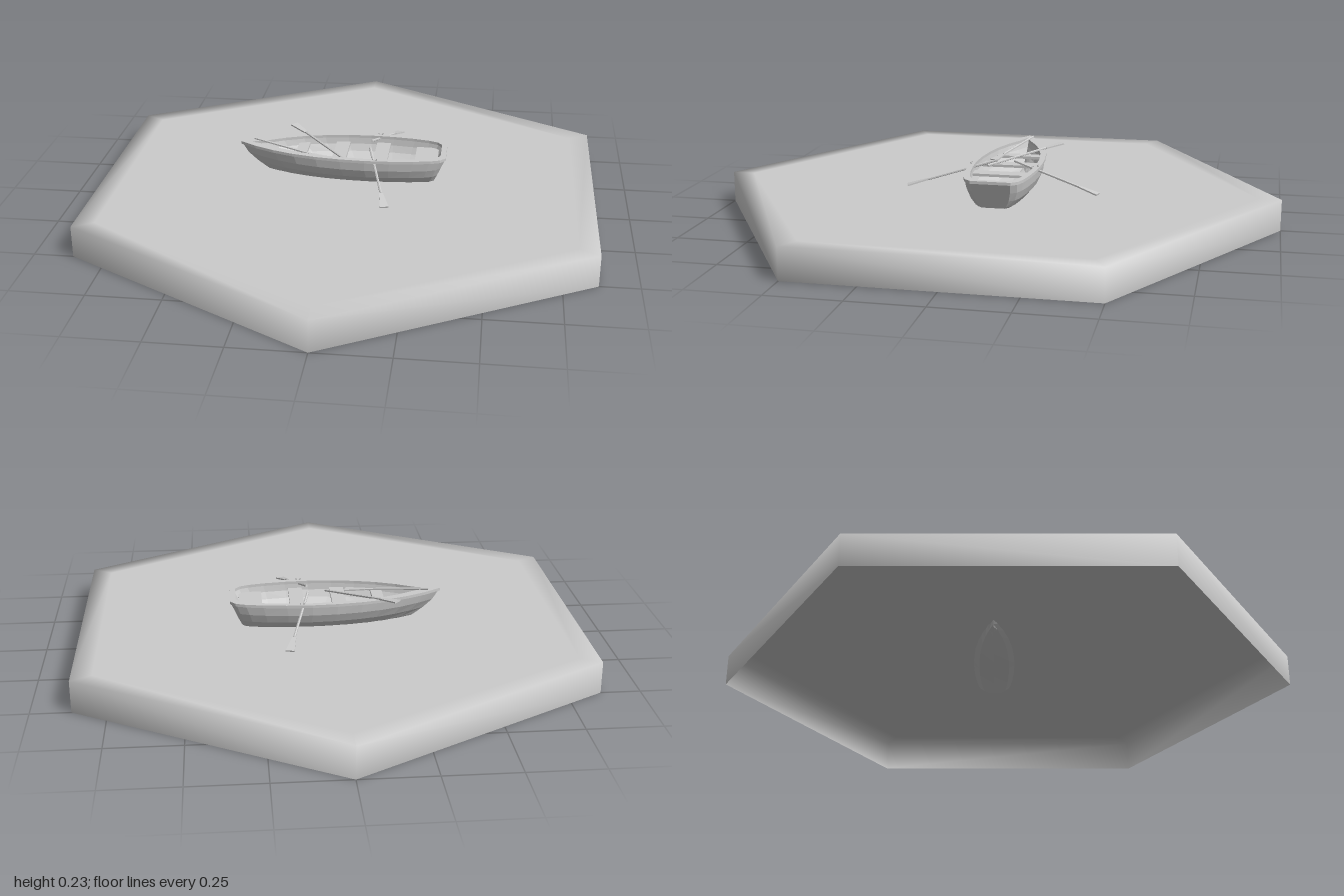
import * as THREE from 'three';

const smooth = new THREE.MeshStandardMaterial({ color: 0xcccccc, side: THREE.DoubleSide });
const faceted = new THREE.MeshStandardMaterial({ color: 0xcccccc, side: THREE.DoubleSide, flatShading: true });

const RAIL = 0.203; // height of the hull's upper edge

// Plan outline: [fraction of length from bow, half width]; the last pair closes the transom
const PLAN = [[0, 0], [0.08, 0.034], [0.17, 0.065], [0.27, 0.09], [0.38, 0.108], [0.5, 0.119], [0.62, 0.123],
  [0.74, 0.119], [0.85, 0.11], [0.93, 0.099], [0.975, 0.087], [1, 0.066], [1, 0]];

function add(parent, name, geometry, material = faceted) {
  const mesh = new THREE.Mesh(geometry, material);
  mesh.name = name;
  parent.add(mesh);
  return mesh;
}

// Half width of the boat at a given x along the rail
function halfWidth(x) {
  const t = (x + 0.39) / 0.735;
  const i = Math.max(1, PLAN.findIndex(p => p[0] >= t));
  const [a, b] = [PLAN[i - 1], PLAN[i]];
  return THREE.MathUtils.lerp(a[1], b[1], (t - a[0]) / (b[0] - a[0]));
}

// Hull skin lofted from rounded sections, with raked stem and transom
function skin(inset, depth) {
  const pos = [], index = [], n = 10;
  PLAN.forEach(([t, w], i) => {
    for (let j = 0; j <= n; j++) {
      const a = Math.PI * j / n, d = Math.sin(a), c = Math.cos(a);
      const bow = -0.39 + inset * 2 + 0.12 * d ** 1.5, stern = 0.343 - inset - 0.045 * d;
      const z = Math.max(0, w - inset) * Math.sign(c) * Math.abs(c) ** 0.7;
      pos.push(THREE.MathUtils.lerp(bow, stern, t), RAIL - depth * d, z);
      if (i && j) {
        const q = i * (n + 1) + j, p = q - n - 1;
        index.push(p - 1, p, q - 1, p, q, q - 1);
      }
    }
  });
  const g = new THREE.BufferGeometry();
  g.setAttribute('position', new THREE.Float32BufferAttribute(pos, 3));
  g.setIndex(index);
  g.computeVertexNormals();
  return g;
}

// Closed plan outline of the boat, grown or shrunk by an offset
function outline(offset) {
  const side = PLAN.slice(1, -1).map(([t, w]) => new THREE.Vector2(
    THREE.MathUtils.lerp(-0.39 - offset * 2, 0.343 + offset, t), Math.max(0.004, w + offset)));
  const bow = new THREE.Vector2(-0.39 - offset * 2, 0);
  return [bow, ...side, ...side.map(p => new THREE.Vector2(p.x, -p.y)).reverse()];
}

// Oar from its handle to the tip of its blade
function oar(name, from, to) {
  const group = new THREE.Group();
  group.name = name;
  const start = new THREE.Vector3(...from), end = new THREE.Vector3(...to);
  const length = start.distanceTo(end), bladeLength = 0.072;
  const shaft = new THREE.CylinderGeometry(0.0045, 0.0045, length - bladeLength, 6).rotateX(Math.PI / 2);
  add(group, 'oarShaft', shaft).position.z = (length - bladeLength) / 2;
  const blade = new THREE.BoxGeometry(0.03, 0.005, bladeLength);
  const p = blade.attributes.position;
  for (let i = 0; i < p.count; i++) if (p.getZ(i) < 0) p.setX(i, p.getX(i) * 0.45);
  add(group, 'oarBlade', blade).position.z = length - bladeLength / 2;
  group.position.copy(start);
  group.lookAt(end);
  return group;
}

export function createModel() {
  const model = new THREE.Group();
  model.name = 'rowingBoatOnWater';

  // Six-sided water slab, open underneath, with a softly shaded rim
  const profile = [[1, 0], [1, 0.11], [0.92, 0.11], [0, 0.11]].map(p => new THREE.Vector2(...p));
  add(model, 'water', new THREE.LatheGeometry(profile, 6), smooth);

  const boat = new THREE.Group();
  boat.name = 'boat';
  boat.position.z = -0.05;
  model.add(boat);

  add(boat, 'hull', skin(0, 0.108));
  add(boat, 'hullLining', skin(0.01, 0.085));

  // Rail around the top edge
  const rail = new THREE.Shape(outline(0.003));
  rail.holes.push(new THREE.Path(outline(-0.016)));
  const railGeometry = new THREE.ExtrudeGeometry(rail, { depth: 0.01, bevelEnabled: false }).rotateX(-Math.PI / 2);
  add(boat, 'gunwale', railGeometry).position.y = RAIL - 0.002;

  // Bench boards across the hull: [x from, x to]
  for (const [x0, x1] of [[-0.195, -0.155], [-0.06, -0.01], [0.088, 0.138], [0.235, 0.315]]) {
    const width = 2 * (Math.min(halfWidth(x0), halfWidth(x1)) - 0.008);
    const bench = add(boat, 'bench', new THREE.BoxGeometry(x1 - x0, 0.009, width));
    bench.position.set((x0 + x1) / 2, 0.18, 0);
  }

  // Oarlocks on both rails
  for (const s of [-1, 1]) {
    const lock = add(boat, 'oarlock', new THREE.TorusGeometry(0.007, 0.002, 5, 8, Math.PI));
    lock.rotation.z = Math.PI;
    lock.position.set(0.1, RAIL + 0.014, s * 0.118);
  }

  // Two oars out over the water and two stowed inside
  boat.add(
    oar('leftOar', [0.075, 0.222, 0.03], [0.155, 0.137, 0.335]),
    oar('rightOar', [0.075, 0.222, -0.03], [0.155, 0.137, -0.335]),
    oar('stowedOar', [0.005, 0.183, 0.08], [-0.225, 0.225, -0.15]),
    oar('stowedOar', [-0.35, 0.217, -0.02], [-0.065, 0.188, 0.072])
  );
  return model;
}
